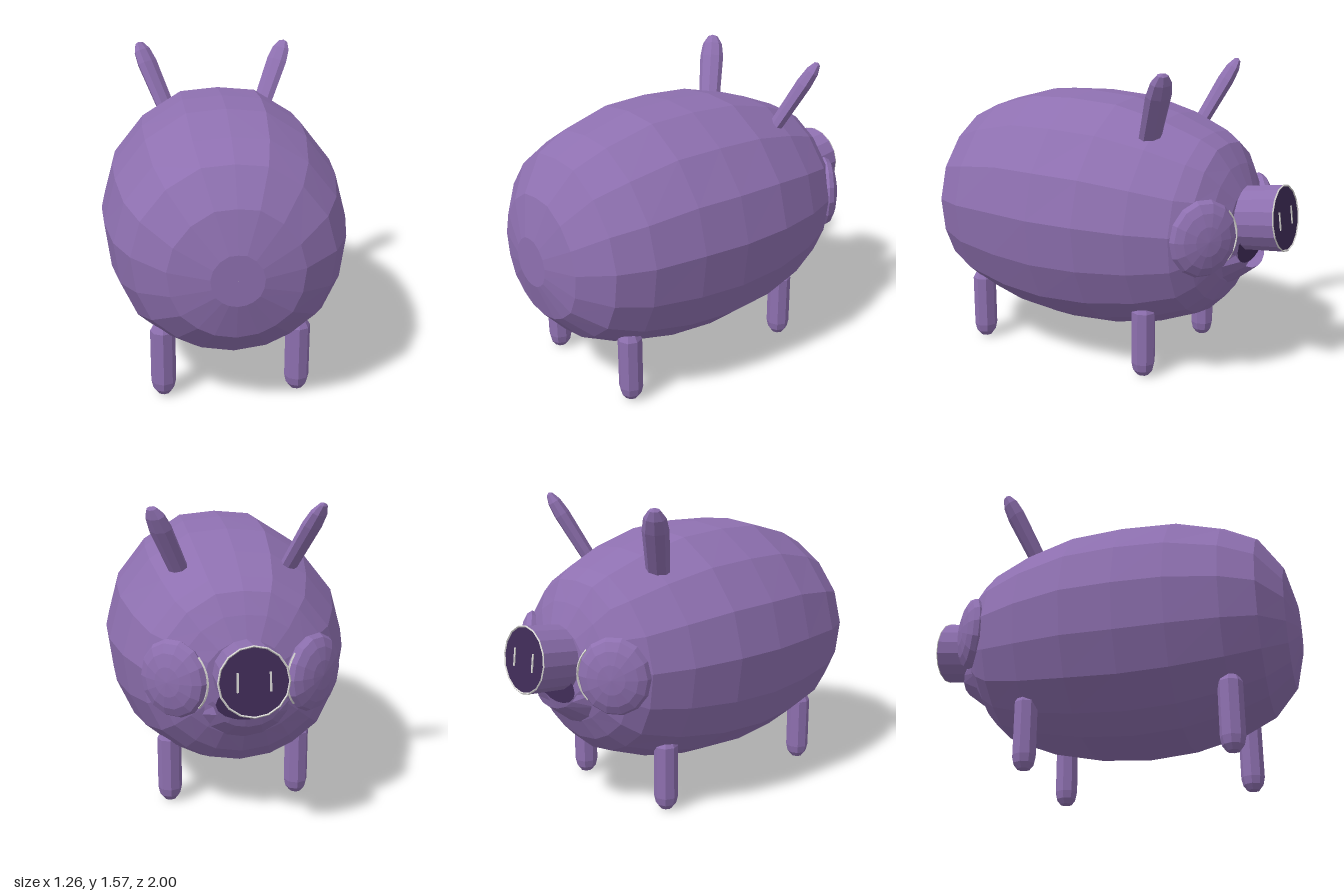
import * as THREE from 'three';

const mat = (name, color, side = THREE.FrontSide) => {
  const m = new THREE.MeshStandardMaterial({ color, side, flatShading: true });
  m.name = name;
  return m;
};

// Skin between successive rings of points
function loft(rings) {
  const n = rings[0].length, pos = [], idx = [];
  rings.forEach(r => r.forEach(p => pos.push(...p)));
  for (let i = 0; i < rings.length - 1; i++) {
    for (let j = 0; j < n - 1; j++) {
      const a = i * n + j, b = a + 1, c = a + n, d = c + 1;
      idx.push(a, b, c, b, d, c);
    }
  }
  const g = new THREE.BufferGeometry();
  g.setAttribute('position', new THREE.Float32BufferAttribute(pos, 3));
  g.setIndex(idx);
  const flat = g.toNonIndexed();
  flat.computeVertexNormals();
  return flat;
}

export function createModel() {
  const root = new THREE.Group();
  root.name = 'pig';
  const skin = mat('purple skin', 0x8e70b0);
  const lipSkin = skin.clone();
  lipSkin.side = THREE.DoubleSide;
  const dark = mat('dark purple', 0x402c58, THREE.DoubleSide);
  const pale = mat('pale grey', 0xd6d4d2);

  const add = (name, geo, material, parent = root) => {
    const m = new THREE.Mesh(geo, material);
    m.name = name;
    parent.add(m);
    return m;
  };

  // Barrel body: one cross-section scaled along z
  const half = [[0, 1], [.32, .97], [.65, .76], [.9, .44], [1, .07], [.95, -.31], [.81, -.62], [.56, -.83], [.32, -.95], [0, -1]];
  const section = [...half, ...half.slice(0, -1).reverse().map(([x, y]) => [-x, y])];
  const stations = [ // z, centre y, half width, half height
    [1, .745, .001, .001], [1, .745, .125, .125], [.95, .755, .32, .315], [.83, .775, .48, .465],
    [.66, .775, .56, .545], [.4, .778, .61, .613], [.15, .773, .63, .628], [-.12, .775, .62, .61],
    [-.38, .77, .56, .55], [-.58, .77, .48, .47], [-.66, .785, .41, .405], [-.72, .79, .32, .3],
    [-.77, .8, .2, .18], [-.78, .8, .001, .001],
  ];
  add('body', loft(stations.map(([z, cy, rx, ry]) => section.map(([x, y]) => [x * rx, cy + y * ry, z]))), skin);

  // Lower lip and open mouth under the snout
  const arc = (rx, ry, cy, zMid, zEnd) => Array.from({ length: 9 }, (_, i) => {
    const a = Math.PI * i / 8;
    return [Math.cos(a) * rx, cy - Math.sin(a) * ry, zEnd + (zMid - zEnd) * Math.sin(a)];
  });
  add('lowerLip', loft([arc(.25, .23, .69, -.69, -.71), arc(.16, .09, .67, -.84, -.79)]), lipSkin);
  const mouth = add('mouth', new THREE.CircleGeometry(.15, 16), dark);
  mouth.scale.y = .55;
  mouth.position.set(0, .68, -.795);
  mouth.rotation.y = Math.PI;

  // Snout, tilted slightly upward
  const snout = new THREE.Group();
  snout.name = 'snout';
  snout.position.set(0, .85, -.977);
  snout.lookAt(0, .975, -1.977);
  root.add(snout);
  add('snoutTube', new THREE.CylinderGeometry(.166, .16, .32, 16, 1, true)
    .rotateX(Math.PI / 2).translate(0, 0, -.16), skin, snout);
  add('snoutFace', new THREE.CircleGeometry(.162, 16), dark, snout);
  add('snoutRim', new THREE.TorusGeometry(.163, .005, 4, 16), pale, snout);
  for (const s of [-1, 1]) {
    add('nostril', new THREE.BoxGeometry(.01, .09, .006), pale, snout).position.set(s * .075, 0, .002);
  }

  const legProfile = [[.001, 0], [.032, .008], [.053, .035], [.062, .075], [.062, .35], [.045, .38], [.001, .38]]
    .map(p => new THREE.Vector2(...p));
  const earProfile = [[.001, 0], [.058, 0], [.066, .3], [.055, .375], [.028, .42], [.001, .43]]
    .map(p => new THREE.Vector2(...p));

  for (const s of [-1, 1]) {
    const side = s > 0 ? 'left' : 'right';

    // Stubby legs
    for (const [end, z] of [['Hind', .665], ['Fore', -.37]]) {
      add(side + end + 'Leg', new THREE.LatheGeometry(legProfile, 8), skin).position.set(s * .335, 0, z);
    }

    // Flattened ears leaning out and toward the snout
    const up = new THREE.Vector3(s * .155, .37, -.16).normalize();
    const wide = new THREE.Vector3(s * .75, 0, .66);
    wide.addScaledVector(up, -wide.dot(up)).normalize();
    const thin = new THREE.Vector3().crossVectors(wide, up);
    const ear = new THREE.LatheGeometry(earProfile, 8).scale(1, 1, .62);
    ear.applyMatrix4(new THREE.Matrix4().makeBasis(wide, up, thin).setPosition(s * .26, 1.2, -.35));
    add(side + 'Ear', ear, skin);

    // Round cheeks with a pale inner edge
    const cheek = new THREE.Group();
    cheek.name = side + 'Cheek';
    cheek.position.set(s * .335, .785, -.695);
    cheek.lookAt(s * .925, .785, -1.505);
    root.add(cheek);
    add('cheekPad', new THREE.SphereGeometry(.195, 14, 8).rotateX(Math.PI / 2).scale(.92, 1, .35), skin, cheek);
    const edge = add('cheekEdge', new THREE.TorusGeometry(.183, .006, 4, 10, 1.5), pale, cheek);
    edge.rotation.z = (s > 0 ? 0 : Math.PI) - .75;
  }
  return root;
}
